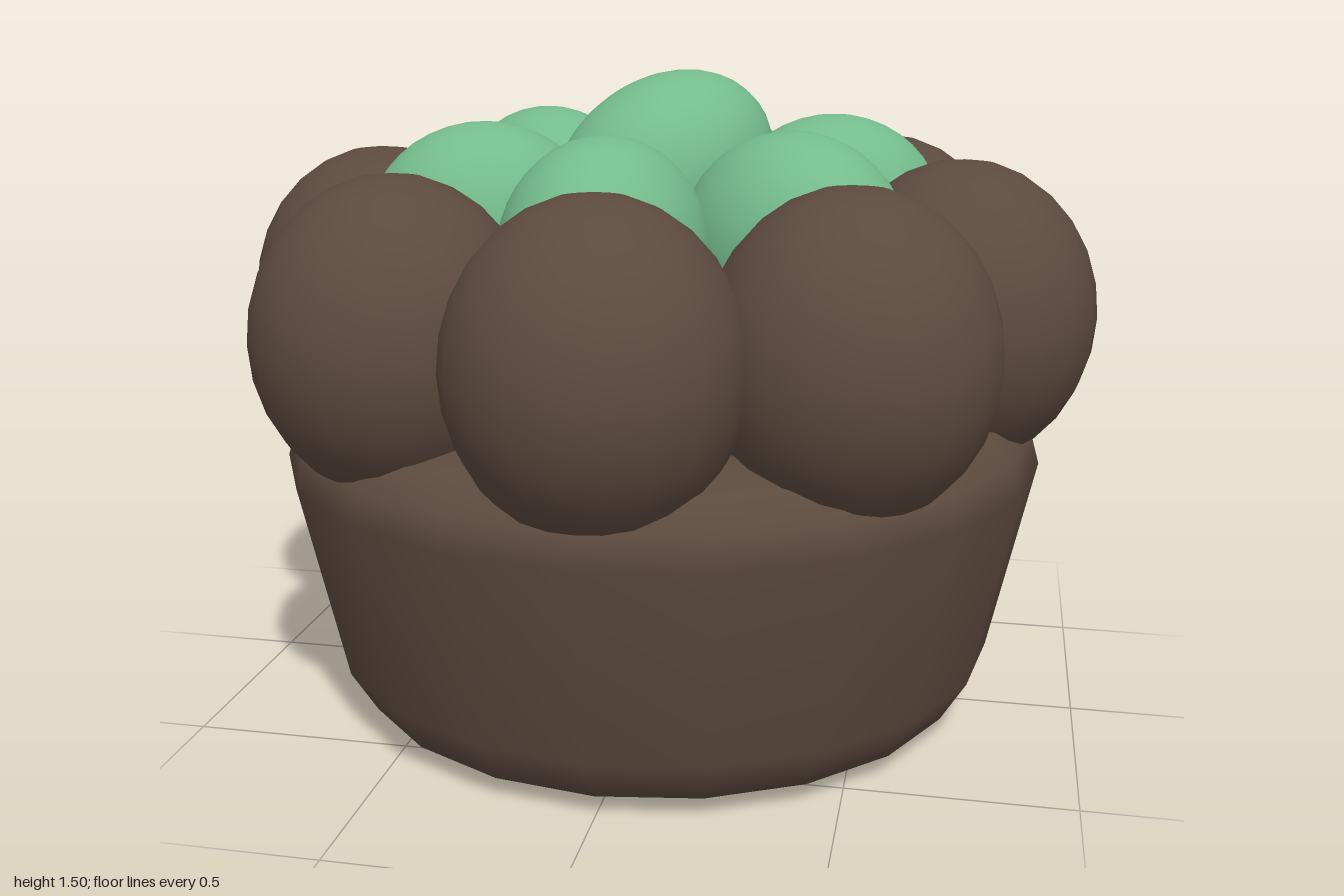
import * as THREE from 'three';

export function createModel() {
  const group = new THREE.Group();
  const brown = new THREE.MeshStandardMaterial({ color: 0x5d4a3e });
  brown.name = 'dark brown';
  const green = new THREE.MeshStandardMaterial({ color: 0x74bb8c });
  green.name = 'soft green';

  const add = (name, geometry, material, parent = group) => {
    const mesh = new THREE.Mesh(geometry, material);
    mesh.name = name;
    parent.add(mesh);
    return mesh;
  };

  // Flared bowl, closed at the top and bottom
  const profile = [
    [0, 0], [0.61, 0], [0.73, 0.05], [0.79, 0.15], [0.89, 0.61],
    [0.87, 0.68], [0.82, 0.74], [0.7, 0.78], [0, 0.78],
  ].map(([r, y]) => new THREE.Vector2(r, y));
  add('base', new THREE.LatheGeometry(profile, 20), brown);

  // Ring of eight plump lobes
  const ball = new THREE.SphereGeometry(1, 20, 14);
  const lobes = new THREE.Group();
  lobes.name = 'rimLobes';
  group.add(lobes);
  for (let i = 0; i < 8; i++) {
    const a = (i * Math.PI) / 4;
    const lobe = add('rimLobe', ball, brown, lobes);
    lobe.position.set(0.69 * Math.cos(a), 0.96, -0.69 * Math.sin(a));
    lobe.scale.set(0.31, 0.35, 0.31);
    lobe.rotation.y = a;
  }

  // Six green buds, longest along the radius
  const smooth = new THREE.SphereGeometry(1, 32, 20);
  const buds = new THREE.Group();
  buds.name = 'buds';
  group.add(buds);
  for (let i = 0; i < 6; i++) {
    const a = THREE.MathUtils.degToRad(24 + i * 60);
    const bud = add('outerBud', smooth, green, buds);
    bud.position.set(0.415 * Math.cos(a), 1.14, -0.415 * Math.sin(a));
    bud.scale.set(0.27, 0.25, 0.22);
    bud.rotation.y = a;
  }

  // Taller centre bud, leaning to the back left
  const centre = add('centreBud', smooth, green, buds);
  centre.position.set(0, 1.257, -0.01);
  centre.scale.set(0.29, 0.22, 0.22);
  centre.rotation.set(0, Math.PI / 4, Math.PI / 6, 'YXZ');

  return group;
}
